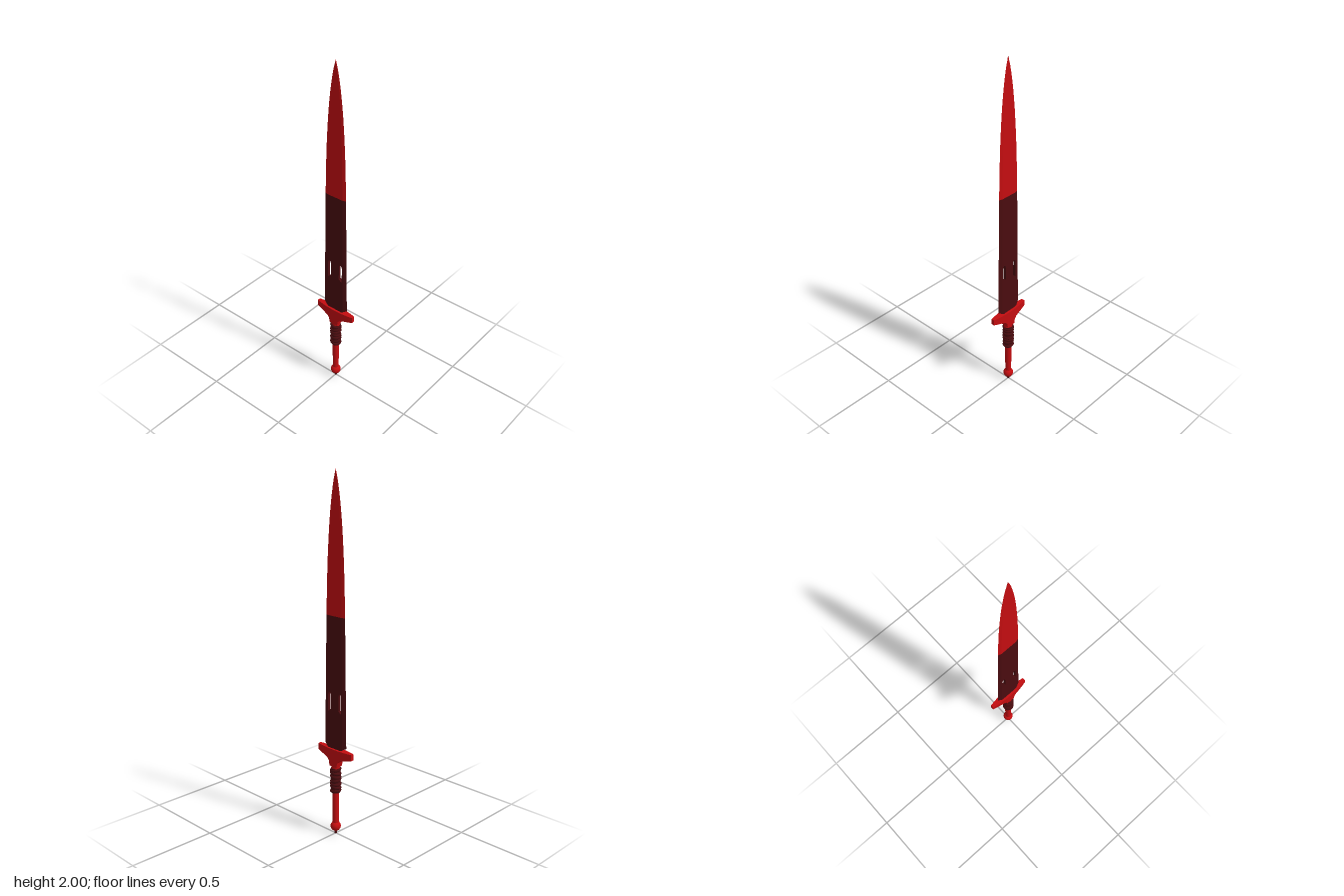
import * as THREE from 'three';

const red = new THREE.MeshStandardMaterial({ color: 0xc40d10 });
const dark = new THREE.MeshStandardMaterial({ color: 0x4a0c0f });

const V = (x, y, z) => new THREE.Vector3(x, y, z);

// Flat-faced skin over a row of rings, closed at both ends.
function loft(rings) {
  const pts = [];
  const n = rings[0].length;
  for (let i = 0; i < rings.length - 1; i++) {
    for (let j = 0; j < n; j++) {
      const k = (j + 1) % n;
      const [a, b, c, d] = [rings[i][j], rings[i][k], rings[i + 1][k], rings[i + 1][j]];
      pts.push(a, b, c, a, c, d);
    }
  }
  const first = rings[0], last = rings[rings.length - 1];
  for (let j = 1; j < n - 1; j++) {
    pts.push(first[0], first[j + 1], first[j], last[0], last[j], last[j + 1]);
  }
  const geo = new THREE.BufferGeometry().setFromPoints(pts);
  geo.computeVertexNormals();
  return geo;
}

// Half thickness of the blade at height y.
const thickness = (y) => y < 1.25
  ? THREE.MathUtils.mapLinear(y, 0.5, 1.25, 0.0095, 0.006)
  : THREE.MathUtils.mapLinear(y, 1.25, 2, 0.006, 0.0015);

// One length of blade: flat core plus two sharpened edges.
// Each row is { y, w, core }: outer edge height, half width, height of the bevel line.
function bladePart(name, rows, material, foot = [], holes = []) {
  const group = new THREE.Group();
  group.name = name;
  const inner = 0.72;
  const side = [...foot, ...rows.map(r => [r.w * inner, r.core])];
  const outline = [
    ...side.map(([z, y]) => new THREE.Vector2(z, y)),
    ...side.slice().reverse().filter(([z]) => z > 0).map(([z, y]) => new THREE.Vector2(-z, y)),
  ];
  const shape = new THREE.Shape(outline);
  shape.holes.push(...holes);
  const core = new THREE.ExtrudeGeometry(shape, { depth: 1, bevelEnabled: false, curveSegments: 6 });
  core.translate(0, 0, -0.5).rotateY(-Math.PI / 2);
  const p = core.attributes.position;
  for (let i = 0; i < p.count; i++) p.setX(i, p.getX(i) * 2 * thickness(p.getY(i)));
  core.computeVertexNormals();
  const coreMesh = new THREE.Mesh(core, material);
  coreMesh.name = name + 'Core';
  group.add(coreMesh);

  const edge = loft(rows.map(({ y, w, core: c }) => [
    V(0, y, w), V(thickness(c), c, w * inner), V(-thickness(c), c, w * inner),
  ]));
  for (const turn of [0, Math.PI]) {
    const mesh = new THREE.Mesh(edge, material);
    mesh.name = name + 'Edge';
    mesh.rotation.y = turn;
    group.add(mesh);
  }
  return group;
}

// Slot with a rounded top and a slanted foot.
function slot(s) {
  const path = new THREE.Path();
  path.moveTo(s * 0.028, 0.735);
  path.lineTo(s * 0.049, 0.718);
  path.lineTo(s * 0.049, 0.815);
  path.quadraticCurveTo(s * 0.047, 0.832, s * 0.038, 0.832);
  path.quadraticCurveTo(s * 0.03, 0.832, s * 0.028, 0.815);
  path.closePath();
  return path;
}

export function createModel() {
  const model = new THREE.Group();
  model.name = 'sword';
  const add = (name, geometry, material, y = 0) => {
    const mesh = new THREE.Mesh(geometry, material);
    mesh.name = name;
    mesh.position.y = y;
    model.add(mesh);
    return mesh;
  };

  // Dark lower blade with two slots
  model.add(bladePart('lowerBlade', [
    { y: 0.53, w: 0.08, core: 0.517 },
    { y: 1.25, w: 0.068, core: 1.25 },
  ], dark, [[0.028, 0.5]], [slot(1), slot(-1)]));

  // Red upper blade curving to the tip
  const curve = new THREE.SplineCurve([
    [0.068, 1.25], [0.064, 1.4], [0.058, 1.55], [0.048, 1.7],
    [0.038, 1.8], [0.027, 1.88], [0.014, 1.95], [0, 2],
  ].map(([w, y]) => new THREE.Vector2(w, y)));
  model.add(bladePart('upperBlade',
    curve.getPoints(21).map(({ x, y }) => ({ y, w: Math.max(x, 0), core: y })), red));

  // Crossguard: bowed sides, underside sweeping down to the grip
  const guardHalf = [[0.125, 0.475, 0.009], [0.1, 0.469, 0.014], [0.07, 0.461, 0.018],
    [0.045, 0.452, 0.0205], [0.032, 0.438, 0.0215], [0.026, 0.41, 0.022]];
  const guardRows = [
    ...guardHalf.map(([z, b, h]) => [-z, b, h]),
    ...guardHalf.slice().reverse(),
  ];
  add('crossguard', loft(guardRows.map(([z, b, h]) => [
    V(h, b, z), V(h, 0.51, z), V(-h, 0.51, z), V(-h, b, z),
  ])), red);

  // Collar under the guard
  const collar = add('collar', new THREE.CylinderGeometry(0.026, 0.026, 0.06, 16), red, 0.425);
  collar.scale.x = 0.85;

  // Handle
  add('handle', new THREE.CylinderGeometry(0.02, 0.017, 0.38, 16), red, 0.24);

  // Grip wrapping: a sleeve with tilted cord turns
  add('wrapSleeve', new THREE.CylinderGeometry(0.026, 0.026, 0.145, 12), dark, 0.325);
  const turns = 7;
  for (let i = 0; i < turns; i++) {
    const cord = add('wrapCord', new THREE.TorusGeometry(0.024, 0.009, 6, 16), dark,
      0.263 + i * 0.125 / (turns - 1));
    cord.rotation.set(Math.PI / 2 + 0.15 * Math.cos(i * 2.1), 0.2 * Math.sin(i * 1.7), 0);
  }

  // Pommel and its end cap
  add('pommel', new THREE.SphereGeometry(0.029, 20, 14), red, 0.045);
  add('pommelCap', new THREE.CylinderGeometry(0.009, 0.006, 0.024, 12), dark, 0.012);

  return model;
}
